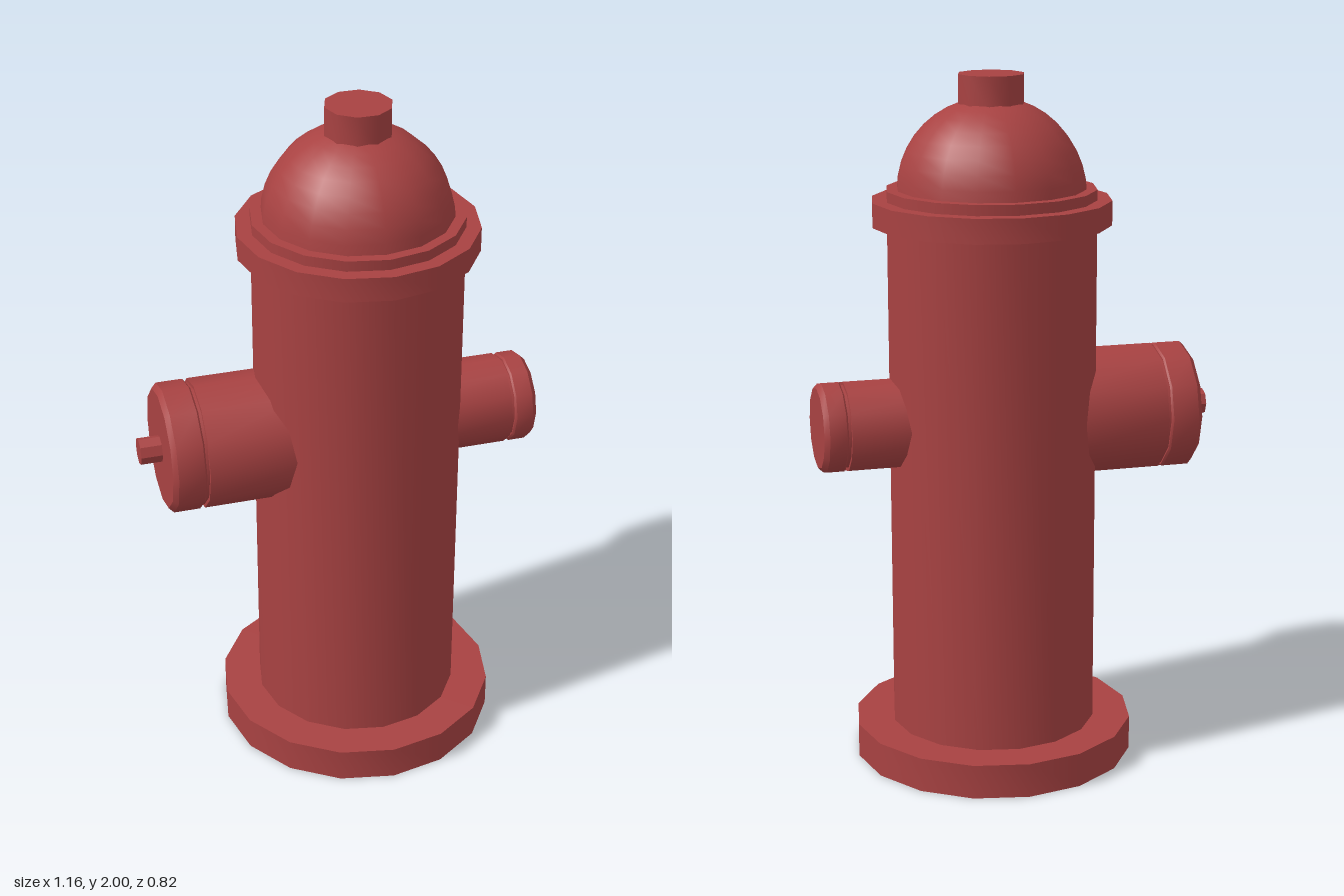
import * as THREE from 'three';
import { toCreasedNormals } from 'three/addons/utils/BufferGeometryUtils.js';

const AXIS_X = 0.063; // the barrel stands slightly to the left of centre
const NOZZLE_Y = 1.015;

export function createModel() {
  const model = new THREE.Group();
  model.name = 'hydrant';
  const red = new THREE.MeshStandardMaterial({ color: 0xa84242 });
  red.name = 'hydrant red';

  // Turned part: profile of [radius, height], listed from the bottom up
  function turned(name, profile, sides, parent) {
    const points = profile.map(([r, y]) => new THREE.Vector2(r, y));
    const geometry = toCreasedNormals(new THREE.LatheGeometry(points, sides), 0.65);
    const mesh = new THREE.Mesh(geometry, red);
    mesh.name = name;
    parent.add(mesh);
    return mesh;
  }
  const disc = (r, y0, y1) => [[0, y0], [r, y0], [r, y1], [0, y1]];

  const column = new THREE.Group();
  column.name = 'column';
  column.position.x = AXIS_X;
  model.add(column);

  // Foot flange, hollow underneath
  turned('baseFlange', [
    [0.295, 0.095], [0.405, 0.095], [0.405, 0], [0.41, 0], [0.41, 0.1], [0.295, 0.1],
  ], 16, column);

  // Barrel with a shallow recess in its underside
  turned('barrel', [
    [0, 0.12], [0.295, 0.12], [0.295, 0.095], [0.3, 0.095], [0.3, 1.68], [0, 1.68],
  ], 16, column);

  turned('collar', [
    [0.29, 1.58], [0.342, 1.58], [0.342, 1.65], [0.29, 1.65],
  ], 16, column);

  // Domed bonnet
  const dome = [];
  for (let i = 0; i <= 10; i++) {
    const a = (i / 10) * Math.PI / 2;
    dome.push([0.27 * Math.cos(a), 1.668 + 0.267 * Math.sin(a)]);
  }
  turned('bonnet', dome, 16, column);
  turned('topNut', disc(0.095, 1.9, 2), 10, column).rotation.y = Math.PI / 2;

  // Side outlet: pipe, narrow groove and chamfered cap, pointing along +x or -x
  function outlet(name, dir, radius, seam, end) {
    const group = new THREE.Group();
    group.name = name;
    group.position.y = NOZZLE_Y;
    group.rotation.z = -dir * Math.PI / 2;
    model.add(group);
    const c = 0.014;
    turned('pipe', disc(radius, 0.1, seam - 0.005), 12, group);
    turned('groove', disc(radius - 0.01, seam - 0.01, seam + 0.01), 12, group);
    turned('cap', [
      [0, seam + 0.004], [radius - 0.005, seam + 0.004], [radius, seam + 0.009],
      [radius, end - c], [radius - c, end], [0, end],
    ], 12, group);
    return group;
  }
  outlet('leftOutlet', 1, 0.131, 0.504, 0.576);
  const large = outlet('rightOutlet', -1, 0.187, 0.421, 0.52);
  turned('capNut', disc(0.039, 0.51, 0.582), 8, large);

  return model;
}
